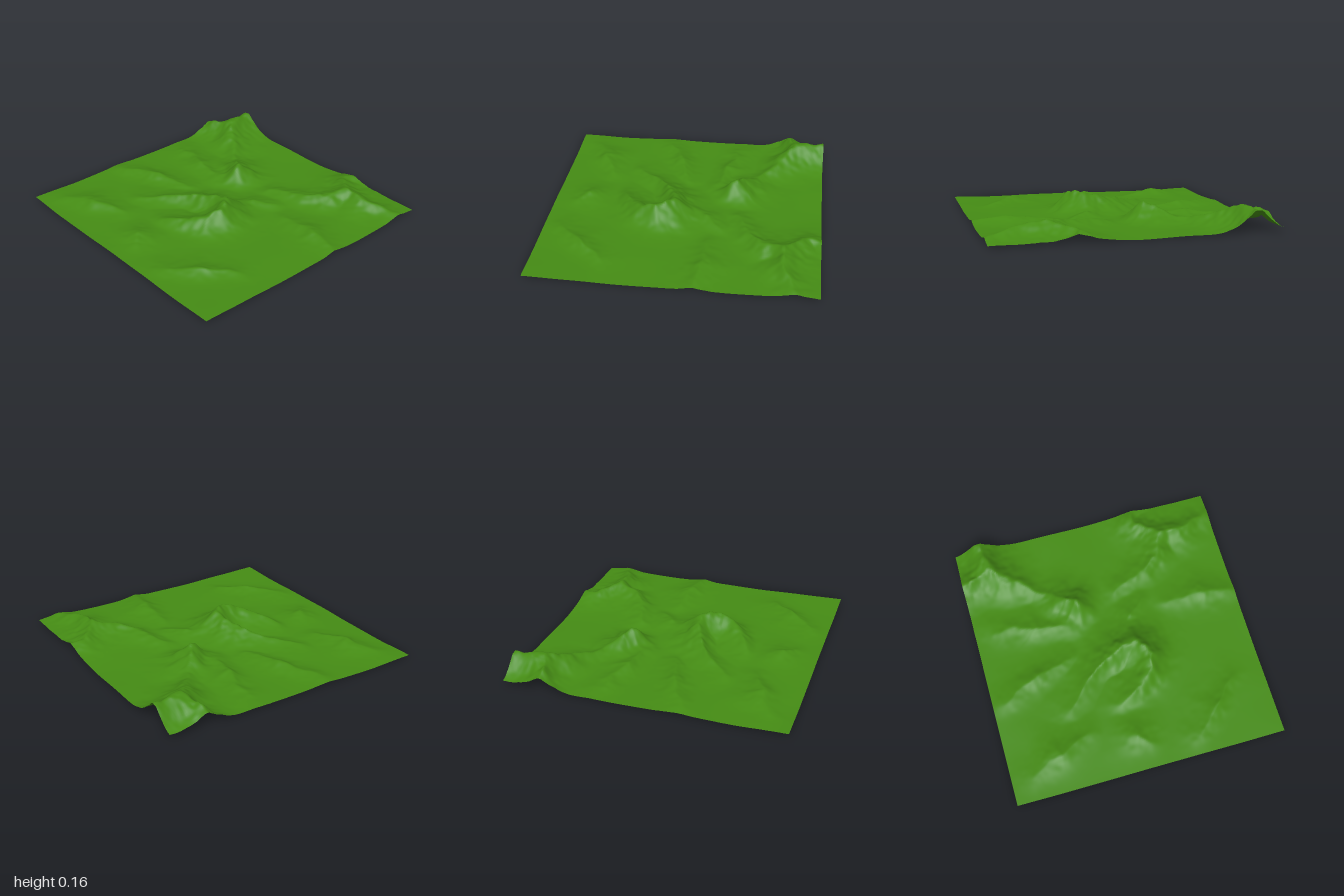
import * as THREE from 'three';

const { clamp, lerp, smoothstep } = THREE.MathUtils;

// A crest is a line of points whose y is the height of the ridge there
const highCrest = (...points) =>
  new THREE.CatmullRomCurve3(points.map(p => new THREE.Vector3(...p))).getPoints(10);

// A low crest swells in the middle and fades at both ends
const lowCrest = (x1, z1, x2, z2) => [0, 0.5, 1].map(t =>
  new THREE.Vector3(lerp(x1, x2, t), 0.025 + 0.03 * Math.sin(Math.PI * t), lerp(z1, z2, t)));

const hash = (i, j) => {
  const s = Math.sin(i * 127.1 + j * 311.7) * 43758.5453;
  return s - Math.floor(s);
};

// Smooth value noise in -1..1
function noise(x, z) {
  const i = Math.floor(x), j = Math.floor(z);
  const u = smoothstep(x - i, 0, 1), v = smoothstep(z - j, 0, 1);
  const a = lerp(hash(i, j), hash(i + 1, j), u);
  const b = lerp(hash(i, j + 1), hash(i + 1, j + 1), u);
  return 2 * lerp(a, b, v) - 1;
}

// Height of one ridge: gentle on the back left side, steep on the front right side
function ridgeHeight(crest, x, z) {
  let best = 0;
  for (let k = 0; k < crest.length - 1; k++) {
    const a = crest[k], b = crest[k + 1];
    const dx = b.x - a.x, dz = b.z - a.z;
    const t = clamp(((x - a.x) * dx + (z - a.z) * dz) / (dx * dx + dz * dz), 0, 1);
    const ox = x - a.x - dx * t, oz = z - a.z - dz * t;
    const d = Math.hypot(ox, oz);
    const lean = (0.6 * ox + 0.8 * oz) / (d + 0.02);
    const h = lerp(a.y, b.y, t);
    const width = (0.075 + 0.3 * h) * (1 - 0.3 * lean);
    best = Math.max(best, h * Math.exp(-Math.pow(d / width, 1.35)));
  }
  return best;
}

function terrainHeight(crests, x, z) {
  // bend the crests a little
  const wx = x + 0.025 * noise(x * 7 + 3, z * 7) + 0.008 * noise(x * 20, z * 20 + 5);
  const wz = z + 0.025 * noise(x * 7, z * 7 + 9) + 0.008 * noise(x * 20 + 8, z * 20);
  let sum = 0;
  for (const crest of crests) sum += Math.pow(ridgeHeight(crest, wx, wz), 4);
  const ground = 0.011 + 0.006 * noise(x * 3 + 1, z * 3 + 4);
  const rough = 1 + 0.09 * noise(x * 13, z * 13) + 0.05 * noise(x * 30, z * 30);
  return Math.min(0.17, ground + 0.94 * rough * Math.pow(sum, 0.25));
}

export function createModel() {
  const crests = [
    // back left massif and the saddle to its small peak
    highCrest([-1, 0.095, -0.68], [-0.78, 0.16, -0.8], [-0.8, 0.155, -1]),
    highCrest([-0.78, 0.155, -0.8], [-0.6, 0.09, -0.64], [-0.42, 0.05, -0.52], [-0.22, 0.143, -0.35]),
    // central hill with its two arms
    highCrest([-0.45, 0.025, 0.42], [-0.12, 0.09, 0.14], [0.14, 0.16, 0.08], [0.23, 0.142, 0.25], [-0.08, 0.035, 0.48]),
    // back right ridge and its spur
    highCrest([0.12, 0.035, -0.38], [0.45, 0.068, -0.54], [0.57, 0.103, -0.75], [0.79, 0.085, -0.73], [0.95, 0.04, -0.82]),
    highCrest([0.57, 0.1, -0.76], [0.4, 0.07, -0.9], [0.45, 0.055, -1]),
    // low outlying ridges
    lowCrest(0.5, -0.19, 1, -0.17),
    lowCrest(0.08, -0.04, 0.27, -0.27),
    lowCrest(-0.85, -0.33, -0.25, -0.2),
    lowCrest(-0.9, 0.25, -0.35, 0.02),
    lowCrest(-0.8, 0.82, -0.4, 0.65),
    lowCrest(0.4, 0.86, 0.75, 0.54),
    lowCrest(-0.1, 0.7, 0.02, 0.82),
  ];

  // One open sheet of ground, raised by the height rule
  const geometry = new THREE.PlaneGeometry(2, 2, 180, 180).rotateX(-Math.PI / 2);
  const pos = geometry.attributes.position;
  for (let i = 0; i < pos.count; i++) pos.setY(i, terrainHeight(crests, pos.getX(i), pos.getZ(i)));
  geometry.computeBoundingBox();
  geometry.translate(0, -geometry.boundingBox.min.y, 0);
  geometry.computeVertexNormals();

  const terrain = new THREE.Mesh(
    geometry,
    new THREE.MeshStandardMaterial({ color: 0x458c14, side: THREE.DoubleSide }),
  );
  terrain.name = 'terrain';

  const group = new THREE.Group();
  group.name = 'landscape';
  group.add(terrain);
  return group;
}
